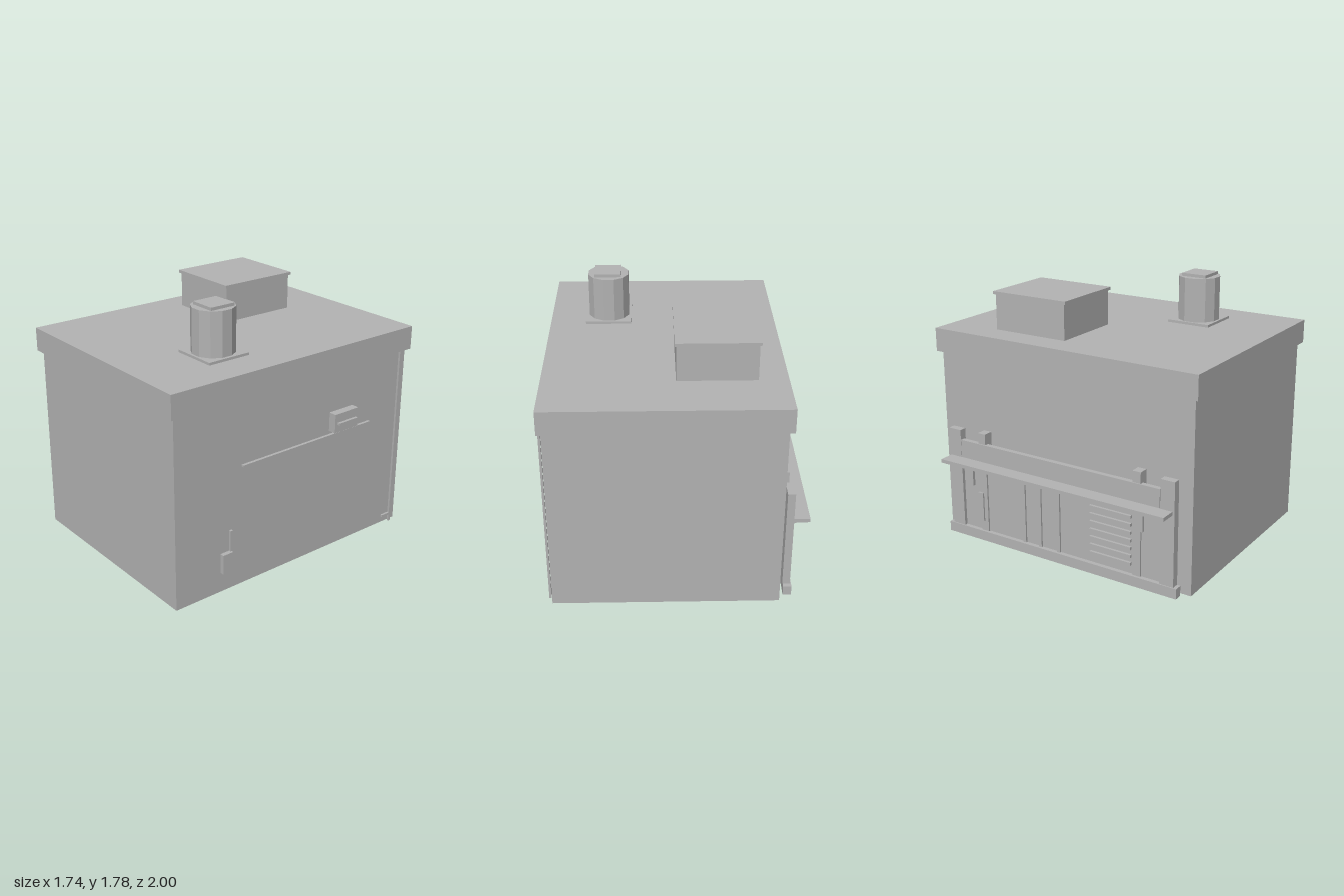
import * as THREE from 'three';

export function createModel() {
  const group = new THREE.Group();
  const grey = new THREE.MeshStandardMaterial({ color: 0xb3b3b3, flatShading: true });
  grey.name = 'plain grey';

  // Box given by its limits on each axis
  const box = (name, x0, x1, y0, y1, z0, z1) => {
    const mesh = new THREE.Mesh(new THREE.BoxGeometry(x1 - x0, y1 - y0, z1 - z0), grey);
    mesh.position.set((x0 + x1) / 2, (y0 + y1) / 2, (z0 + z1) / 2);
    mesh.name = name;
    group.add(mesh);
    return mesh;
  };

  // Main building
  box('walls', -0.69, 0.795, 0, 1.29, -0.97, 0.97);
  box('roofSlab', -0.72, 0.82, 1.29, 1.45, -1, 1);

  // Roof hatch
  box('hatchBase', -0.53, -0.02, 1.45, 1.69, -0.625, -0.075);
  box('hatchLid', -0.54, -0.01, 1.69, 1.71, -0.64, -0.06);

  // Roof vent
  box('ventPlate', 0.265, 0.58, 1.45, 1.467, 0.23, 0.54);
  const pipe = new THREE.Mesh(new THREE.CylinderGeometry(0.143, 0.143, 0.3, 12), grey);
  pipe.name = 'ventPipe';
  pipe.position.set(0.42, 1.615, 0.385);
  pipe.rotation.y = Math.PI / 12;
  group.add(pipe);
  box('ventCap', 0.335, 0.515, 1.765, 1.785, 0.295, 0.475);

  // Fittings on the right wall
  box('wallBox', 0.795, 0.85, 0.87, 1.0, -0.49, -0.28);
  box('wallBoxHandle', 0.85, 0.87, 0.925, 0.94, -0.47, -0.3);
  box('wallRail', 0.795, 0.815, 0.835, 0.847, -0.65, 0.46);
  box('drainPipe', 0.805, 0.82, 0, 1.29, -0.915, -0.9);
  box('drainSpout', 0.805, 0.82, 0.05, 0.067, -0.9, -0.83);
  box('meterBox', 0.795, 0.825, 0.14, 0.275, 0.545, 0.625);
  box('meterConduit', 0.795, 0.81, 0.21, 0.42, 0.535, 0.555);

  // Counter front along the other wall
  box('counterBase', -0.775, -0.72, 0, 0.07, -0.915, 0.91);
  box('counterPanel', -0.745, -0.73, 0.07, 0.6, -0.79, 0.78);
  box('counterTopRail', -0.765, -0.73, 0.58, 0.705, -0.79, 0.78);
  box('counterShelf', -0.872, -0.765, 0.555, 0.58, -0.875, 0.87);

  // Mirrored posts and shelf brackets
  for (const s of [-1, 1]) {
    const mirrored = (name, x0, x1, y0, y1, a, b) =>
      box(name, x0, x1, y0, y1, Math.min(s * a, s * b), Math.max(s * a, s * b));
    mirrored('endPost', -0.767, -0.717, 0.07, 0.775, 0.785, 0.885);
    mirrored('innerPost', -0.757, -0.69, 0, 0.78, 0.58, 0.64);
    mirrored('shelfBracket', -0.815, -0.795, 0.415, 0.555, 0.65, 0.69);
  }

  // Panel dividers, door handle and louvres
  for (const z of [-0.27, -0.14, 0.01]) {
    box('panelDivider', -0.757, -0.745, 0.07, 0.555, z - 0.012, z + 0.012);
  }
  box('panelHandle', -0.768, -0.745, 0.14, 0.35, -0.65, -0.61);
  for (let i = 0; i < 7; i++) {
    const y = 0.13 + i * 0.054;
    box('louvreSlat', -0.763, -0.745, y, y + 0.02, 0.26, 0.57);
  }

  return group;
}
